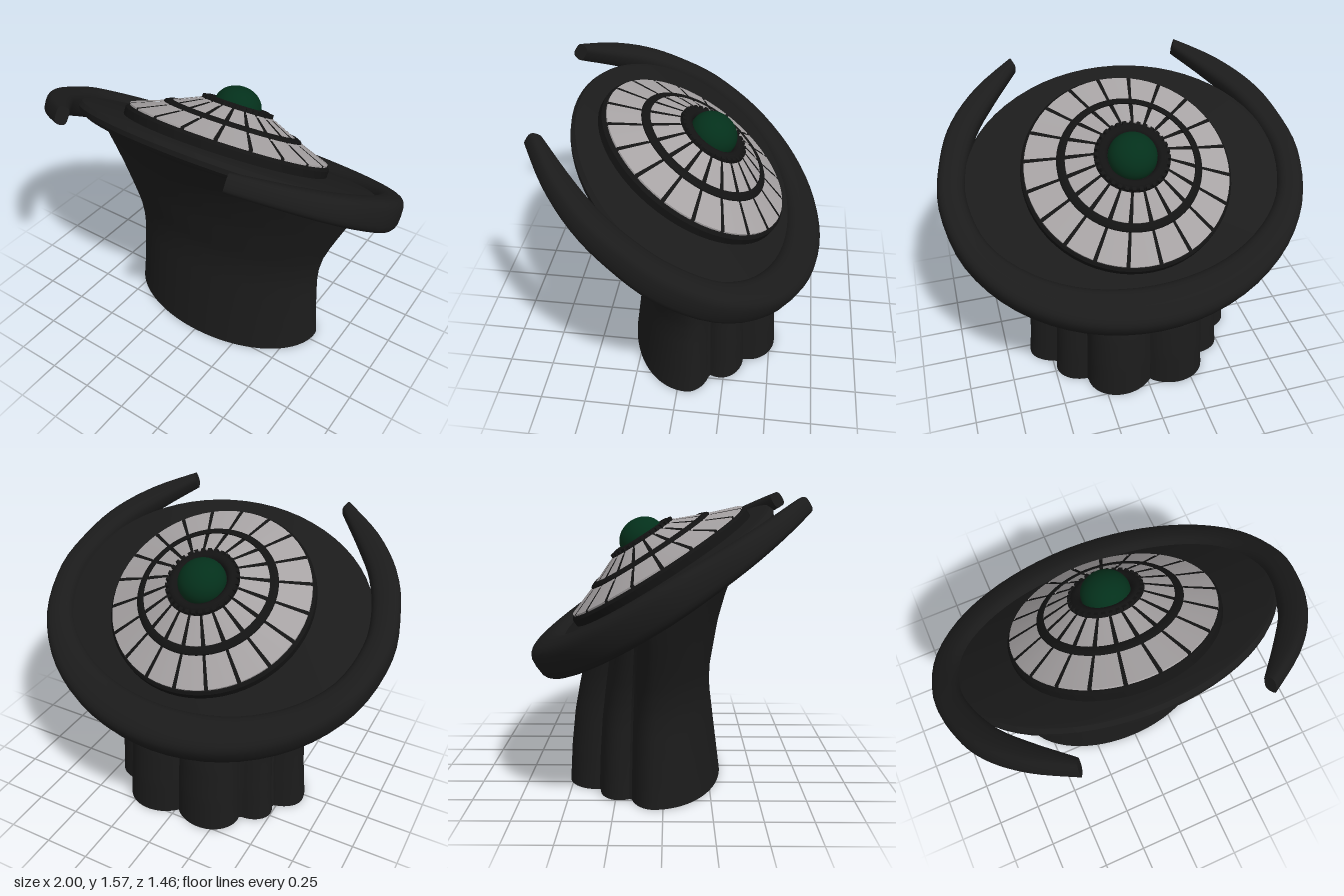
import * as THREE from 'three';
import { toCreasedNormals } from 'three/addons/utils/BufferGeometryUtils.js';

const TILT = 0.567, DISC_Y = 1.1;
const { lerp } = THREE.MathUtils;

function material(name, color, side = THREE.FrontSide) {
  const m = new THREE.MeshStandardMaterial({ color, side });
  m.name = name;
  return m;
}

function add(parent, name, geometry, mat) {
  const mesh = new THREE.Mesh(geometry, mat);
  mesh.name = name;
  parent.add(mesh);
  return mesh;
}

// Skin a grid of points; each row is a closed loop
function loft(rows, cols, point, caps) {
  const pos = [], idx = [];
  for (let i = 0; i <= rows; i++)
    for (let j = 0; j < cols; j++) pos.push(...point(i / rows, j / cols));
  for (let i = 0; i < rows; i++)
    for (let j = 0; j < cols; j++) {
      const k = (j + 1) % cols, a = i * cols, c = a + cols;
      idx.push(a + j, c + j, a + k, a + k, c + j, c + k);
    }
  if (caps)
    for (let j = 1; j < cols - 1; j++) {
      const e = rows * cols;
      idx.push(0, j, j + 1, e, e + j + 1, e + j);
    }
  const g = new THREE.BufferGeometry();
  g.setAttribute('position', new THREE.Float32BufferAttribute(pos, 3));
  g.setIndex(idx);
  return toCreasedNormals(g, 0.65);
}

// Piecewise value lookup: [height, value] pairs
function sample(table, y) {
  let k = 0;
  while (k < table.length - 2 && y > table[k + 1][0]) k++;
  const [y0, v0] = table[k], [y1, v1] = table[k + 1];
  return lerp(v0, v1, (y - y0) / (y1 - y0));
}

function lathe(points, segments, start = 0, length = Math.PI * 2) {
  const v = points.map(([r, y]) => new THREE.Vector2(r, y));
  return toCreasedNormals(new THREE.LatheGeometry(v, segments, start, length), 0.5);
}

// Flared column: smooth front shell, draped folds behind
const HALF_WIDTH = [[0, 0.614], [0.1, 0.604], [0.25, 0.594], [0.4, 0.587], [0.5, 0.593], [0.6, 0.615], [0.7, 0.652], [0.8, 0.695], [0.9, 0.74], [1.1, 0.825], [1.4, 0.87]];
const FRONT_Z = [[0, 0.32], [0.25, 0.288], [0.5, 0.257], [0.63, 0.257], [0.9, 0.3], [1.05, 0.34], [1.15, 0.375], [1.31, 0.46], [1.44, 0.56]];
const BACK_Z = [[0, -0.55], [0.2, -0.538], [0.4, -0.515], [0.55, -0.485], [0.7, -0.45], [1, -0.37]];
const MID_Z = -0.05;
const VALLEYS = [-0.3, 0.3, 0.85, 1.6, 2.35, 2.85, 3.44];
const LOBE_BULGE = [0.2, 0.1, 0.2, 0.2, 0.11, 0.2];

function columnPoint(angle, y) {
  const s = Math.sin(angle);
  let x = sample(HALF_WIDTH, y) * Math.cos(angle);
  let reach = sample(FRONT_Z, y) - MID_Z;
  if (s < 0) {
    const back = Math.PI * 2 - angle;
    const k = VALLEYS.findIndex((v) => v > back);
    const lobe = Math.sin(Math.PI * (back - VALLEYS[k - 1]) / (VALLEYS[k] - VALLEYS[k - 1]));
    const fold = 0.8 + LOBE_BULGE[k - 1] * lobe ** 0.75;
    x *= fold;
    reach = (MID_Z - sample(BACK_Z, y)) * fold;
  }
  return [x, y, MID_Z + reach * s];
}

function columnGeometry() {
  return loft(30, 180, (t, a) => {
    const angle = a * Math.PI * 2;
    let top = DISC_Y;
    for (let k = 0; k < 14; k++) top = DISC_Y - 0.01 + columnPoint(angle, top)[2] * Math.tan(TILT);
    return columnPoint(angle, top * t);
  }, false);
}

// Open rim: outer and inner outlines from the back centre to a prong tip
const OUTER = [[0, -0.84], [0.383, -0.776], [0.707, -0.594], [0.924, -0.32], [1, 0], [0.955, 0.27], [0.865, 0.48], [0.7, 0.675], [0.485, 0.835]];
const INNER = [[0, -0.61], [0.33, -0.565], [0.6, -0.435], [0.785, -0.24], [0.85, 0], [0.822, 0.2], [0.74, 0.405], [0.615, 0.58], [0.46, 0.77]];

function mirroredCurve(half) {
  const right = half.map(([x, u]) => new THREE.Vector2(x, u)).reverse();
  const left = half.slice(1).map(([x, u]) => new THREE.Vector2(-x, u));
  return new THREE.SplineCurve([...right, ...left]);
}

function rimGeometry() {
  const outer = mirroredCurve(OUTER), inner = mirroredCurve(INNER);
  const round = (v) => Math.sign(v) * Math.abs(v) ** 0.65;
  return loft(64, 20, (t, a) => {
    const along = Math.abs(2 * t - 1);
    const height = sample([[0, 0.1], [0.5, 0.09], [1, 0.045]], along);
    const drop = sample([[0, 0], [0.5, 0], [1, -0.012]], along);
    const across = (1 + round(Math.cos(a * Math.PI * 2))) / 2;
    const p = inner.getPoint(t).lerp(outer.getPoint(t), across);
    return [p.x, drop + height * round(Math.sin(a * Math.PI * 2)), p.y];
  }, true);
}

export function createModel() {
  const charcoal = material('charcoal', 0x1b1b1b);
  const charcoalCloth = material('charcoal cloth', 0x1b1b1b, THREE.DoubleSide);
  const black = material('black trim', 0x131313);
  const silver = material('silver', 0xa7a3a4, THREE.DoubleSide);
  const green = material('dark green', 0x04301b);

  const model = new THREE.Group();
  model.name = 'model';
  add(model, 'column', columnGeometry(), charcoalCloth);

  // Everything on the sloping head
  const head = new THREE.Group();
  head.name = 'head';
  head.position.y = DISC_Y;
  head.rotation.x = -TILT;
  model.add(head);
  add(head, 'rim', rimGeometry(), charcoal);
  add(head, 'plate', lathe([[0, -0.03], [0.94, -0.03], [0.985, -0.01], [1, 0.015], [0.985, 0.04], [0.95, 0.05], [0, 0.055]], 64), charcoal)
    .scale.set(0.88, 1, 0.705);

  // Shallow cone with two rows of panels
  const cone = new THREE.Group();
  cone.name = 'cone';
  cone.position.z = 0.02;
  head.add(cone);
  add(cone, 'coneBase', lathe([[0.567, 0.04], [0.567, 0.09], [0.556, 0.103], [0.38, 0.168], [0.2, 0.245], [0, 0.25]], 60), black);

  const rows = [['outerPanel', 0.55, 0.106, 0.386, 0.166], ['innerPanel', 0.342, 0.185, 0.2, 0.245]];
  const count = 20, step = Math.PI * 2 / count;
  for (const [name, r0, y0, r1, y1] of rows) {
    const gap = 0.036 / (r0 + r1);
    const g = lathe([[r0, y0], [r0, y0 + 0.009], [r1, y1 + 0.009], [r1, y1]], 3, 0.08 + gap / 2, step - gap);
    for (let i = 0; i < count; i++) add(cone, name, g, silver).rotation.y = i * step;
  }

  // Dividing ring between the rows
  add(cone, 'middleRing', lathe([[0.384, 0.155], [0.384, 0.18], [0.377, 0.187], [0.352, 0.197], [0.345, 0.197], [0.345, 0.175]], 60), black);

  // Toothed collar and flattened dome
  const collar = new THREE.TorusGeometry(0.16, 0.03, 10, 48).rotateX(Math.PI / 2);
  add(cone, 'collar', collar, black).position.y = 0.25;
  const tooth = new THREE.BoxGeometry(0.02, 0.035, 0.045).translate(0, 0.255, 0.175);
  for (let i = 0; i < 32; i++) add(cone, 'collarTooth', tooth, black).rotation.y = i * Math.PI / 16;
  const dome = add(cone, 'dome', new THREE.SphereGeometry(0.129, 36, 20), green);
  dome.scale.y = 0.84;
  dome.position.y = 0.262;

  return model;
}
